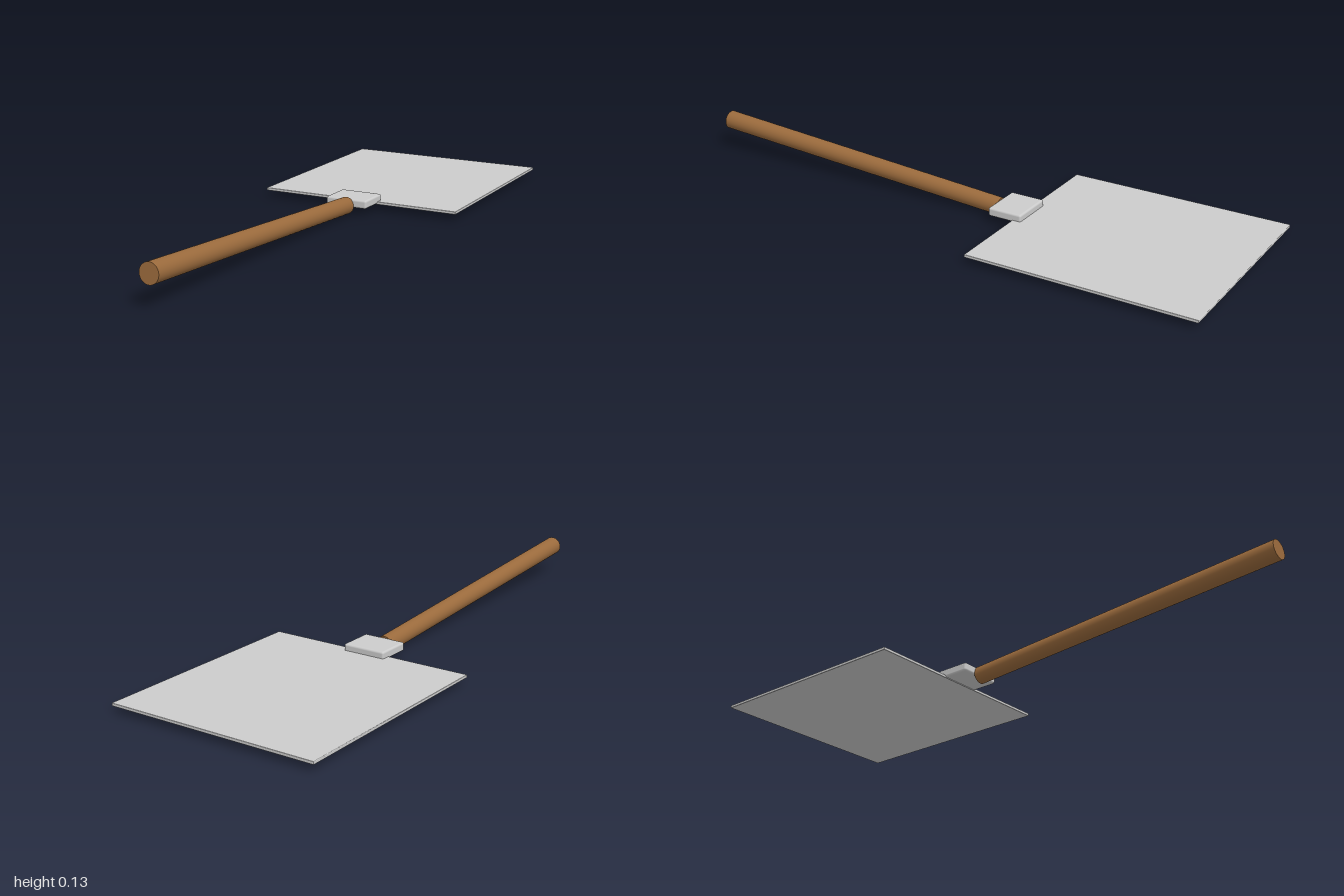
import * as THREE from 'three';
import { RoundedBoxGeometry } from 'three/addons/geometries/RoundedBoxGeometry.js';

export function createModel() {
  const model = new THREE.Group();
  const metal = new THREE.MeshStandardMaterial({ color: 0xcccccc });
  const wood = new THREE.MeshStandardMaterial({ color: 0x9a6a3c });

  // Rounded slab given by its lower and upper corners, symmetric in x
  function slab(name, width, y0, y1, z0, z1, radius) {
    const geometry = new RoundedBoxGeometry(width, y1 - y0, z1 - z0, 3, radius);
    const mesh = new THREE.Mesh(geometry, metal);
    mesh.name = name;
    mesh.position.set(0, (y0 + y1) / 2, (z0 + z1) / 2);
    model.add(mesh);
  }

  // Thin square blade and the socket block that joins it to the handle
  slab('blade', 0.732, 0.0215, 0.0315, -1, -0.237, 0.002);
  slab('socket', 0.152, 0.0245, 0.0535, -0.267, -0.147, 0.007);

  // Slightly tapered handle rising towards the grip end
  const back = new THREE.Vector3(0, 0.0295, -0.149);
  const front = new THREE.Vector3(0, 0.1015, 0.998);
  const axis = front.clone().sub(back);
  const handle = new THREE.Mesh(
    new THREE.CylinderGeometry(0.0325, 0.0295, axis.length(), 48), wood);
  handle.name = 'handle';
  handle.position.copy(back).add(front).multiplyScalar(0.5);
  handle.quaternion.setFromUnitVectors(new THREE.Vector3(0, 1, 0), axis.normalize());
  model.add(handle);

  return model;
}
